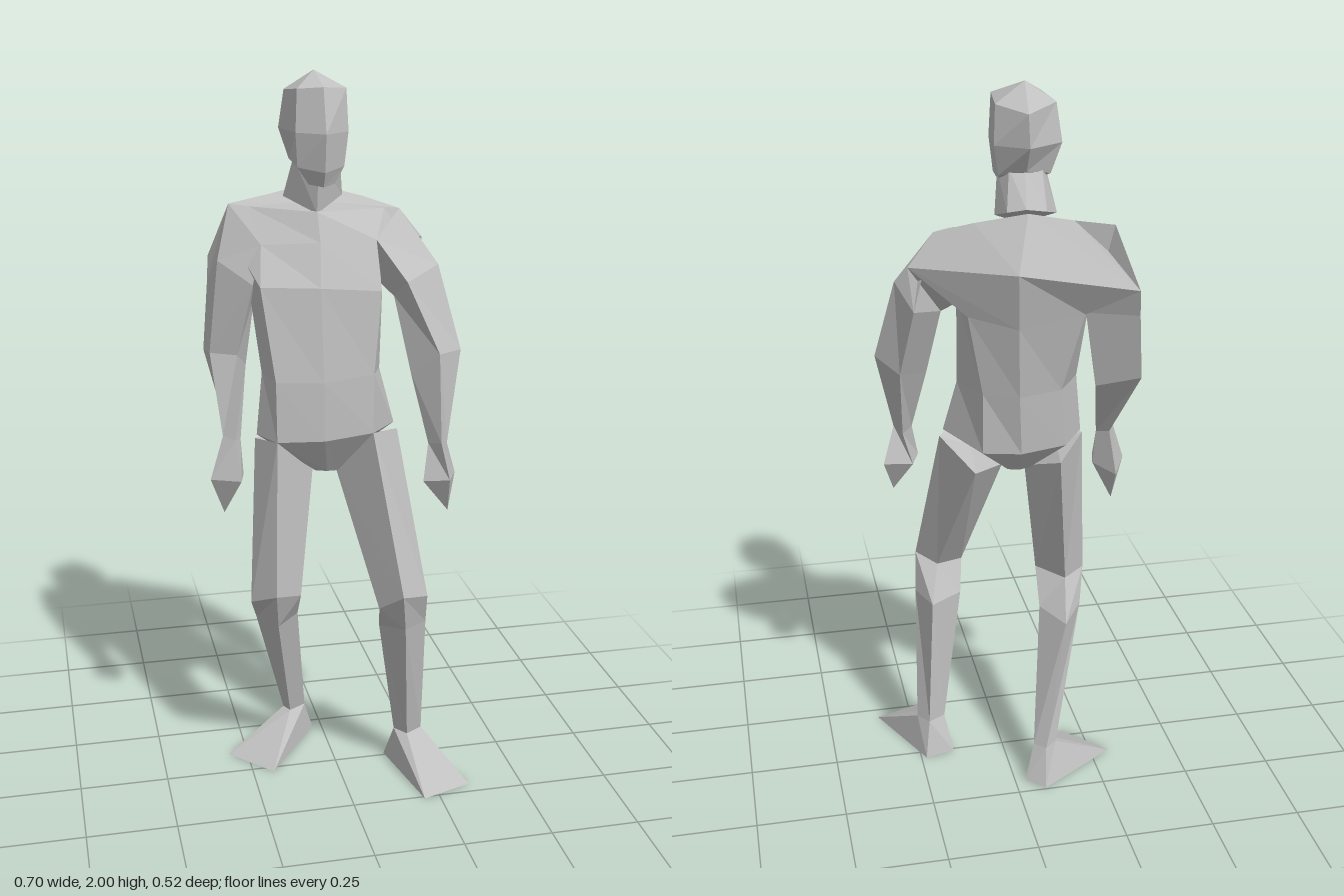
import * as THREE from 'three';

const skin = new THREE.MeshStandardMaterial({ color: 0xc0c0c0, flatShading: true });
skin.name = 'plain grey';

// Skins a closed body through rings of equal point count; a one-point ring closes to a tip.
function loft(name, rings) {
  const v = (p) => new THREE.Vector3(...p);
  const tris = [];
  const cap = (ring) => {
    const c = ring.reduce((s, p) => s.add(v(p)), new THREE.Vector3()).divideScalar(ring.length);
    return [c.x, c.y, c.z];
  };
  const all = [[cap(rings[0])], ...rings, [cap(rings[rings.length - 1])]];
  const n = Math.max(...rings.map((r) => r.length));
  for (let i = 0; i + 1 < all.length; i++) {
    const a = all[i], b = all[i + 1];
    for (let j = 0; j < n; j++) {
      const k = (j + 1) % n;
      if (a.length > 1) tris.push([a[j], a[k], b[b.length > 1 ? k : 0]]);
      if (b.length > 1) tris.push([a[a.length > 1 ? j : 0], b[k], b[j]]);
    }
  }
  // Turn the faces outward by the sign of the enclosed volume
  const volume = tris.reduce((s, [p, q, r]) => s + v(p).dot(v(q).cross(v(r))), 0);
  if (volume < 0) tris.forEach((t) => t.reverse());
  const geometry = new THREE.BufferGeometry();
  geometry.setAttribute('position', new THREE.Float32BufferAttribute(tris.flat(2), 3));
  geometry.computeVertexNormals();
  const mesh = new THREE.Mesh(geometry, skin);
  mesh.name = name;
  return mesh;
}

export function createModel() {
  const model = new THREE.Group();
  model.name = 'walkingFigure';

  // Torso rings run front left, front, front right, right, back right, back, back left, left
  const crotch = [[0, .93, .03], [-.03, .93, .03], [-.06, .93, .02], [-.07, .94, -.02],
    [-.06, .95, -.08], [-.03, .95, -.09], [0, .95, -.08], [.01, .94, -.02]];
  const pelvis = [[.08, 1.06, .115], [-.05, 1.04, .1], [-.175, 1.035, .07], [-.215, 1.03, -.03],
    [-.15, 1.03, -.13], [-.02, 1.03, -.165], [.08, 1.03, -.14], [.165, 1.05, 0]];
  const waist = [[.085, 1.22, .1], [-.05, 1.2, .09], [-.175, 1.2, .06], [-.195, 1.2, -.05],
    [-.13, 1.2, -.15], [-.01, 1.2, -.185], [.08, 1.2, -.14], [.13, 1.2, -.03]];
  const chest = [[.11, 1.44, .075], [-.05, 1.45, .055], [-.205, 1.45, .01], [-.22, 1.42, -.08],
    [-.18, 1.42, -.19], [0, 1.4, -.22], [.12, 1.42, -.15], [.125, 1.42, -.05]];
  const shoulders = [[.11, 1.565, .01], [-.04, 1.56, 0], [-.19, 1.55, -.06], [-.26, 1.56, -.15],
    [-.31, 1.49, -.24], [.01, 1.555, -.26], [.265, 1.545, -.1], [.2, 1.56, -.06]];
  const collar = [[.15, 1.635, -.07], [-.04, 1.635, -.04], [-.21, 1.64, -.14], [-.26, 1.645, -.165],
    [-.15, 1.665, -.175], [-.03, 1.69, -.18], [.1, 1.66, -.13], [.195, 1.63, -.085]];
  model.add(loft('torso', [crotch, pelvis, waist, chest, shoulders, collar]));

  // Neck
  model.add(loft('neck', [
    [[-.04, 1.63, -.045], [-.12, 1.67, -.11], [-.08, 1.69, -.17], [-.025, 1.7, -.18], [.02, 1.69, -.16], [.04, 1.67, -.1]],
    [[-.04, 1.78, -.02], [-.1, 1.78, -.06], [-.08, 1.79, -.11], [-.035, 1.79, -.12], [.005, 1.79, -.11], [.025, 1.78, -.06]],
  ]));

  // Head rings run front, front left, back left, back, back right, front right
  model.add(loft('head', [
    [[-.035, 1.71, .02], [0, 1.715, -.005], [.005, 1.75, -.07], [-.035, 1.77, -.1], [-.075, 1.75, -.07], [-.07, 1.715, -.005]],
    [[-.035, 1.75, .04], [.025, 1.76, -.005], [.03, 1.77, -.1], [-.035, 1.785, -.135], [-.105, 1.77, -.1], [-.1, 1.76, -.005]],
    [[-.035, 1.85, .055], [.035, 1.85, 0], [.045, 1.85, -.12], [-.035, 1.85, -.175], [-.13, 1.85, -.115], [-.105, 1.85, 0]],
    [[-.035, 1.965, .02], [.03, 1.96, -.005], [.04, 1.95, -.11], [-.03, 1.935, -.178], [-.115, 1.95, -.11], [-.1, 1.96, -.005]],
    [[-.04, 2, -.085]],
  ]));

  // Arms: shoulder, upper arm, elbow, wrist, hand and fingertip
  model.add(loft('leftArm', [
    [[.11, 1.565, .01], [.195, 1.63, -.085], [.265, 1.545, -.1], [.13, 1.44, -.08]],
    [[.18, 1.46, .075], [.29, 1.485, -.02], [.25, 1.42, -.09], [.17, 1.4, -.03]],
    [[.26, 1.27, .12], [.34, 1.26, .045], [.28, 1.22, -.01], [.2, 1.2, .05]],
    [[.26, 1.03, .155], [.285, 1.02, .12], [.265, 1.01, .08], [.235, 1.02, .11]],
    [[.28, .93, .175], [.32, .92, .085], [.24, .92, .07], [.215, .92, .14]],
    [[.29, .825, .125]],
  ]));
  model.add(loft('rightArm', [
    [[-.19, 1.55, -.06], [-.26, 1.645, -.165], [-.31, 1.49, -.24], [-.2, 1.42, -.13]],
    [[-.22, 1.45, -.02], [-.3, 1.5, -.12], [-.315, 1.42, -.23], [-.2, 1.4, -.12]],
    [[-.26, 1.25, -.06], [-.33, 1.25, -.1], [-.335, 1.235, -.195], [-.225, 1.2, -.14]],
    [[-.28, 1.03, .01], [-.31, 1.035, -.02], [-.29, 1.03, -.06], [-.26, 1.02, -.03]],
    [[-.27, .92, .04], [-.35, .92, .005], [-.31, .9, -.07], [-.255, .92, -.02]],
    [[-.31, .81, -.025]],
  ]));

  // Legs: hip, knee, calf and ankle, with the ankle shared by the foot
  const leftAnkle = [[.2, .105, .07], [.25, .105, .04], [.22, .105, 0], [.17, .105, .03]];
  const rightAnkle = [[-.11, .105, -.14], [-.125, .105, -.17], [-.09, .105, -.2], [-.06, .105, -.17]];
  model.add(loft('leftLeg', [
    [[.08, 1.06, .115], [.175, 1.03, 0], [.1, .97, -.135], [0, .93, 0]],
    [[.14, .62, .235], [.225, .59, .17], [.17, .575, .11], [.09, .56, .16]],
    [[.16, .5, .185], [.235, .49, .12], [.2, .49, .02], [.105, .48, .1]],
    leftAnkle,
  ]));
  model.add(loft('rightLeg', [
    [[-.175, 1.035, .07], [-.22, 1.02, -.03], [-.13, .99, -.155], [-.06, .93, -.02]],
    [[-.19, .6, .115], [-.25, .56, .04], [-.18, .565, -.03], [-.11, .57, .05]],
    [[-.175, .48, .05], [-.225, .48, -.03], [-.16, .47, -.13], [-.105, .48, -.03]],
    rightAnkle,
  ]));

  // Feet: soles run inner toe, outer toe, outer heel, inner heel
  model.add(loft('leftFoot', [leftAnkle,
    [[.205, 0, .26], [.35, 0, .21], [.235, 0, -.03], [.15, 0, -.01]]]));
  model.add(loft('rightFoot', [rightAnkle,
    [[-.19, 0, .025], [-.305, 0, -.1], [-.08, 0, -.245], [-.03, .005, -.2]]]));

  return model;
}
